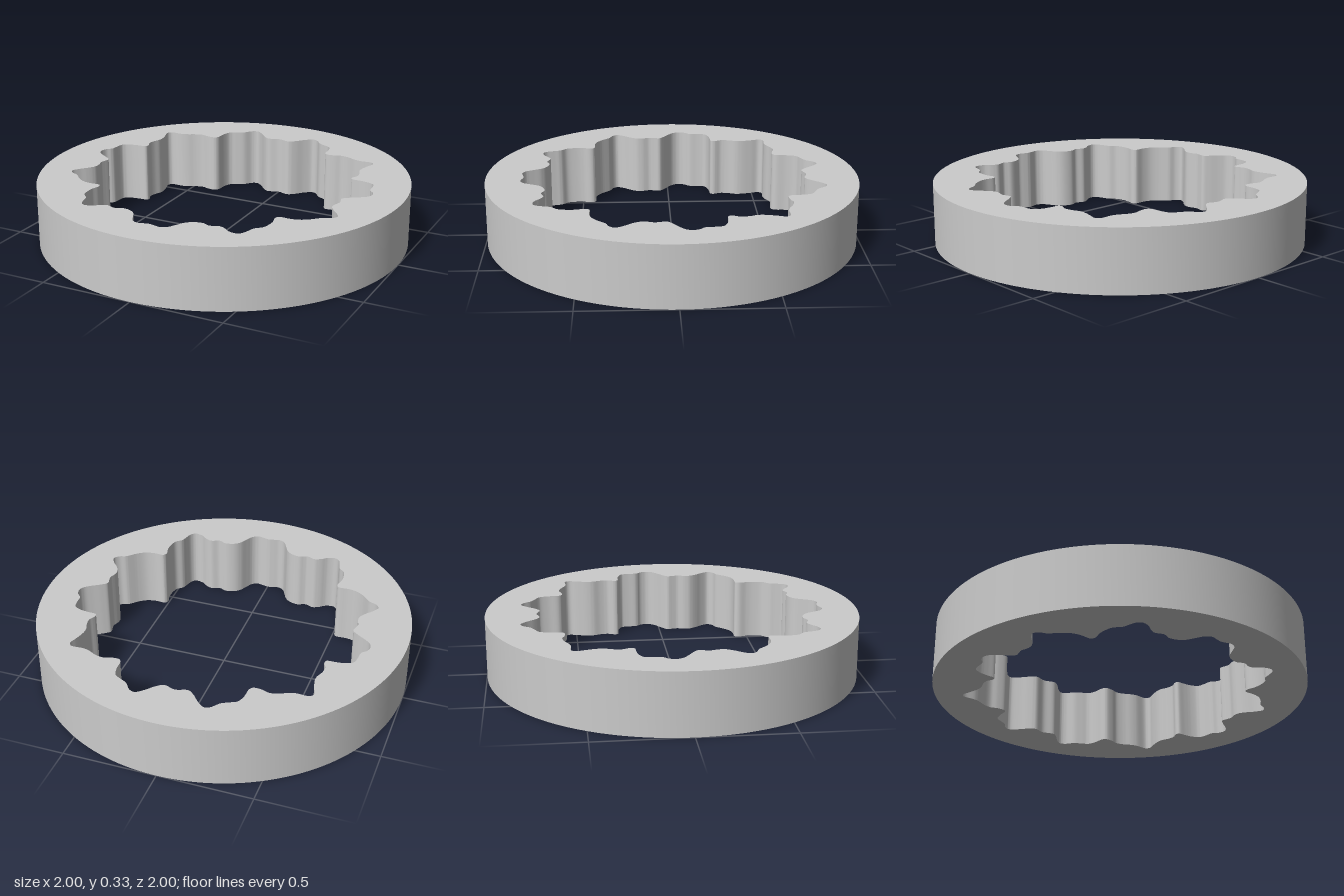
import * as THREE from 'three';
import { toCreasedNormals } from 'three/addons/utils/BufferGeometryUtils.js';

const HEIGHT = 0.33;

// Half of the wavy opening as x, z pairs, from the back to the front
const HALF = [
  0, -0.727, 0.064, -0.71, 0.10, -0.735, 0.14, -0.78, 0.18, -0.81, 0.21, -0.80,
  0.245, -0.757, 0.283, -0.735, 0.32, -0.714, 0.337, -0.665, 0.342, -0.605, 0.358, -0.586,
  0.406, -0.588, 0.444, -0.60, 0.49, -0.59, 0.53, -0.57, 0.567, -0.56, 0.637, -0.56,
  0.652, -0.537, 0.64, -0.495, 0.626, -0.436, 0.626, -0.40, 0.642, -0.356, 0.647, -0.313,
  0.631, -0.275, 0.636, -0.254, 0.684, -0.249, 0.727, -0.243, 0.77, -0.222, 0.78, -0.184,
  0.786, -0.13, 0.81, -0.104, 0.82, -0.067, 0.807, -0.035, 0.775, -0.008, 0.727, 0.024,
  0.70, 0.05, 0.706, 0.083, 0.711, 0.11, 0.70, 0.147, 0.70, 0.184, 0.722, 0.222,
  0.754, 0.26, 0.775, 0.302, 0.754, 0.33, 0.717, 0.345, 0.695, 0.366, 0.668, 0.393,
  0.626, 0.42, 0.578, 0.43, 0.519, 0.43, 0.508, 0.452, 0.519, 0.50, 0.519, 0.543,
  0.508, 0.59, 0.476, 0.623, 0.465, 0.66, 0.45, 0.703, 0.428, 0.719, 0.385, 0.711,
  0.353, 0.687, 0.316, 0.671, 0.267, 0.687, 0.225, 0.671, 0.176, 0.682, 0.144, 0.708,
  0.118, 0.757, 0.096, 0.794, 0.064, 0.81, 0.03, 0.803, 0, 0.797,
];

// Mirror the half profile and smooth it into one closed outline
function openingOutline() {
  const right = [];
  for (let i = 0; i < HALF.length; i += 2) right.push(new THREE.Vector3(HALF[i], HALF[i + 1], 0));
  const left = right.slice(1, -1).reverse().map((p) => new THREE.Vector3(-p.x, p.y, 0));
  const curve = new THREE.CatmullRomCurve3([...right, ...left], true, 'centripetal');
  const points = curve.getPoints((right.length + left.length) * 5);
  points.pop(); // the last point repeats the first
  return points.map((p) => new THREE.Vector2(p.x, p.y));
}

export function createModel() {
  const group = new THREE.Group();
  group.name = 'wavyRing';

  // Round disc with the wavy opening cut through it
  const shape = new THREE.Shape().absarc(0, 0, 1, 0, Math.PI * 2, false);
  shape.holes.push(new THREE.Path(openingOutline()));

  const extruded = new THREE.ExtrudeGeometry(shape, { depth: HEIGHT, bevelEnabled: false, curveSegments: 128 });
  extruded.rotateX(Math.PI / 2).translate(0, HEIGHT, 0);

  const ring = new THREE.Mesh(
    toCreasedNormals(extruded, 0.6),
    new THREE.MeshStandardMaterial({ color: 0xcccccc }),
  );
  ring.name = 'ring';
  group.add(ring);
  return group;
}
